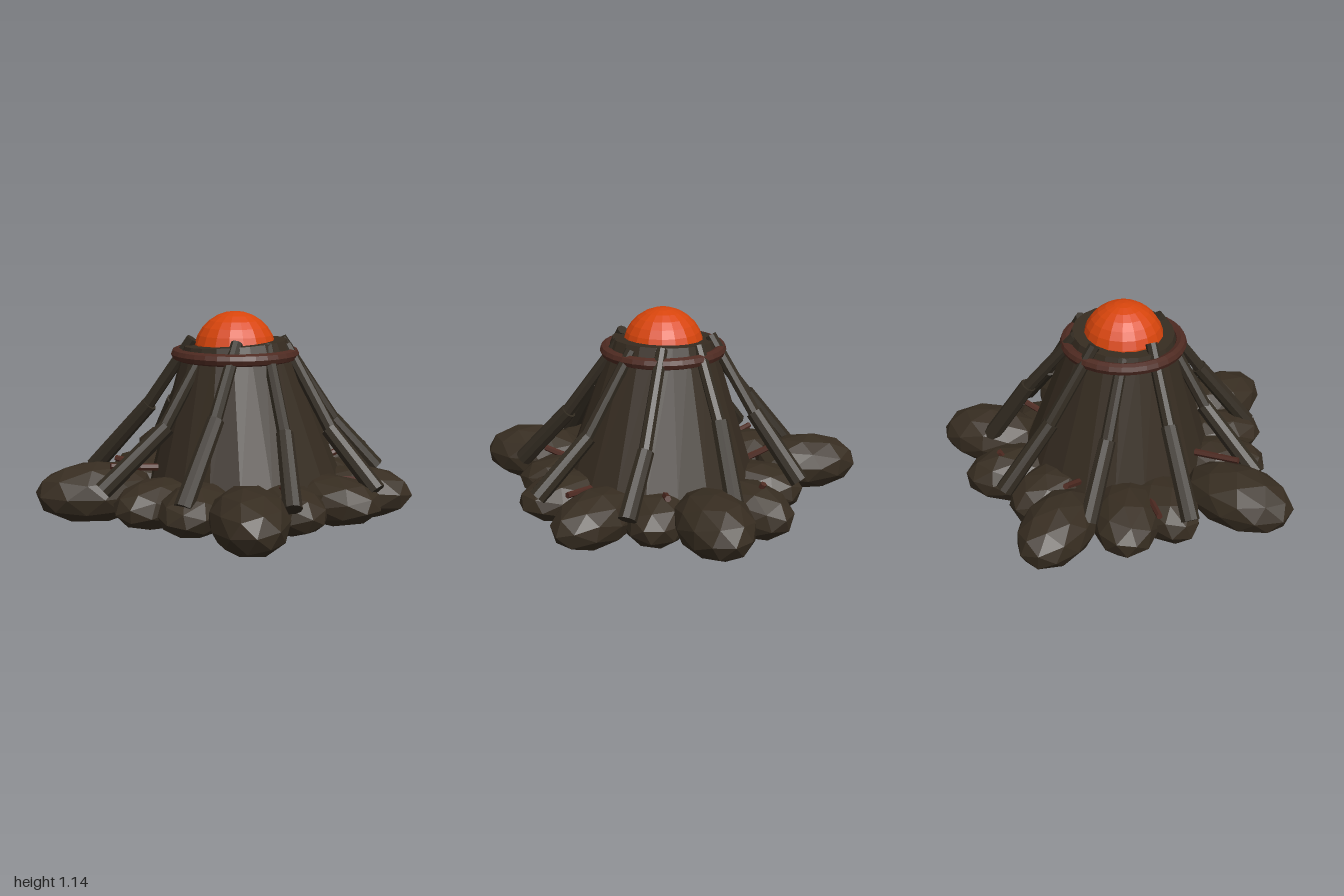
import * as THREE from 'three';

const mat = (name, color) => {
  const m = new THREE.MeshStandardMaterial({ color, flatShading: true });
  m.name = name;
  return m;
};

export function createModel() {
  const stone = mat('dark stone', 0x372d21);
  const earth = mat('packed earth', 0x362c21);
  const timber = mat('charred timber', 0x322b21);
  const rust = mat('rusty brown', 0x4e2a21);
  const ember = mat('glowing orange', 0xd8450c);

  const model = new THREE.Group();
  model.name = 'mound';
  const cx = 0.075, cz = 0.068;
  const V = (x, y, z) => new THREE.Vector3(x, y, z);

  const add = (parent, name, geo, material) => {
    const mesh = new THREE.Mesh(geo, material);
    mesh.name = name;
    parent.add(mesh);
    return mesh;
  };
  const group = (name) => {
    const g = new THREE.Group();
    g.name = name;
    model.add(g);
    return g;
  };
  // Cylinder running from a to b
  const rod = (parent, name, a, b, ra, rb, sides, material) => {
    const dir = b.clone().sub(a);
    const m = add(parent, name, new THREE.CylinderGeometry(rb, ra, dir.length(), sides), material);
    m.position.copy(a).add(b).multiplyScalar(0.5);
    m.quaternion.setFromUnitVectors(V(0, 1, 0), dir.normalize());
    return m;
  };

  // Leaning earth cone
  rod(model, 'cone', V(0.115, 0.23, 0.04), V(cx, 0.98, cz), 0.53, 0.28, 20, earth);

  // Glowing dome and the hoop below it
  add(model, 'dome', new THREE.SphereGeometry(0.225, 18, 14), ember).position.set(cx, 0.923, cz);
  const hoop = add(model, 'hoop', new THREE.TorusGeometry(0.315, 0.033, 8, 32), rust);
  hoop.rotation.x = Math.PI / 2;
  hoop.position.set(cx, 0.92, cz);

  // Leaning poles: foot x,z | joint x,y,z | tip x,y,z
  const poles = group('poles');
  [
    [-0.42, -0.56, -0.28, 0.6, -0.31, -0.14, 1.0, -0.08],
    [0.08, -0.71, 0.03, 0.65, -0.46, 0.0, 0.98, -0.19],
    [0.61, -0.54, 0.42, 0.53, -0.38, 0.21, 0.99, -0.17],
    [0.9, -0.065, 0.6, 0.54, -0.07, 0.33, 0.97, -0.05],
    [0.76, 0.49, 0.56, 0.57, 0.28, 0.32, 0.98, 0.11],
    [0.33, 0.8, 0.29, 0.64, 0.5, 0.23, 1.0, 0.25],
    [-0.21, 0.81, -0.02, 0.57, 0.52, 0.06, 0.95, 0.31],
    [-0.65, 0.44, -0.33, 0.63, 0.32, -0.1, 1.0, 0.22],
    [-0.68, -0.09, -0.43, 0.6, 0.0, -0.18, 0.95, 0.07],
  ].forEach(([fx, fz, jx, jy, jz, tx, ty, tz]) => {
    const foot = V(fx, 0.255, fz), joint = V(jx, jy, jz), tip = V(tx, ty, tz);
    rod(poles, 'poleLower', foot, joint, 0.05, 0.045, 9, timber);
    rod(poles, 'poleUpper', joint.clone().lerp(foot, 0.08), tip, 0.036, 0.032, 8, timber);
  });

  // Boulders pushed under the cone: x, y, z, radial radius, height radius, side radius, heading
  const rocks = group('rocks');
  [
    [0.205, 0.21, -0.71, 0.29, 0.16, 0.2, 1.4],
    [-0.11, 0.155, -0.54, 0.28, 0.15, 0.18, 1.87],
    [-0.29, 0.155, -0.31, 0.275, 0.145, 0.19, 2.4],
    [-0.68, 0.215, -0.25, 0.295, 0.155, 0.19, 2.75],
    [-0.5, 0.16, 0.1, 0.3, 0.15, 0.19, 3.2],
    [-0.38, 0.155, 0.29, 0.31, 0.145, 0.18, 3.6],
    [-0.365, 0.205, 0.71, 0.32, 0.16, 0.21, 4.1],
    [0.0, 0.185, 0.62, 0.27, 0.13, 0.18, 4.67],
    [0.26, 0.195, 0.61, 0.285, 0.13, 0.18, 5.02],
    [0.615, 0.21, 0.645, 0.31, 0.16, 0.2, 5.48],
    [0.55, 0.18, 0.27, 0.3, 0.13, 0.19, 5.88],
    [0.67, 0.19, 0.02, 0.295, 0.13, 0.195, 0],
    [0.65, 0.17, -0.27, 0.305, 0.145, 0.185, 0.45],
    [0.34, 0.155, -0.36, 0.29, 0.145, 0.19, 0.95],
  ].forEach(([x, y, z, rx, ry, rz, heading], i) => {
    const geo = new THREE.IcosahedronGeometry(1.01, 1);
    geo.rotateX(i * 1.3).rotateZ(i * 0.7).scale(rx, ry, rz);
    const rock = add(rocks, 'rock', geo, stone);
    rock.position.set(x, y, z);
    rock.rotation.y = heading;
  });

  // Thin sticks poking out between the rocks
  const sticks = group('sticks');
  [
    [0.33, 0.28, -0.42, 0.4, 0.34, -0.58],
    [0.56, 0.26, -0.1, 0.77, 0.275, -0.16],
    [0.57, 0.29, 0.31, 0.66, 0.33, 0.4],
    [-0.13, 0.33, 0.48, -0.25, 0.36, 0.71],
    [-0.42, 0.24, 0.22, -0.64, 0.27, 0.28],
    [-0.35, 0.27, -0.16, -0.49, 0.34, -0.22],
    [-0.13, 0.2, -0.56, -0.15, 0.32, -0.62],
  ].forEach(([ax, ay, az, bx, by, bz]) =>
    rod(sticks, 'stick', V(ax, ay, az), V(bx, by, bz), 0.02, 0.017, 6, rust));

  return model;
}
